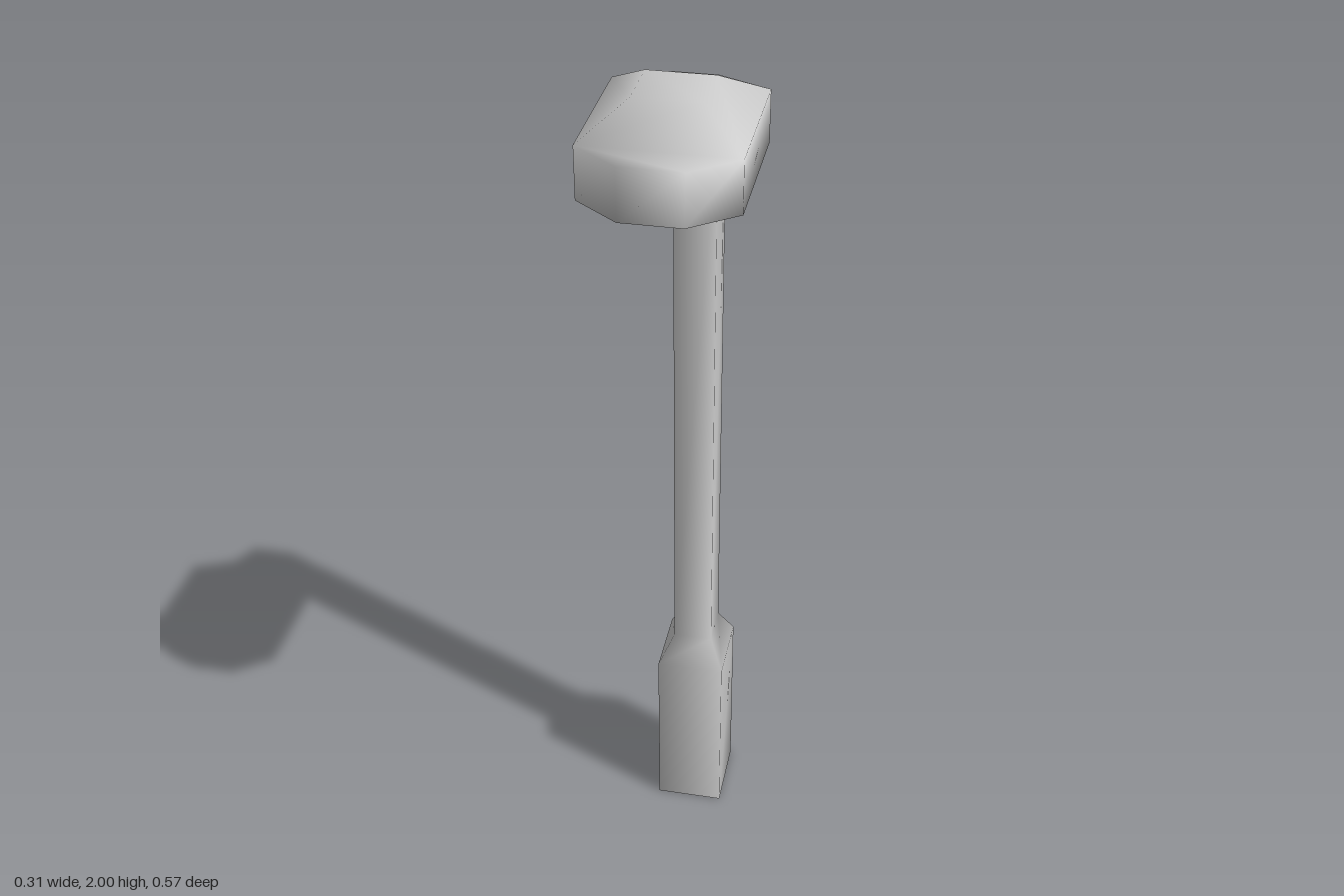
import * as THREE from 'three';
import { mergeVertices } from 'three/addons/utils/BufferGeometryUtils.js';

// Smooth-shaded mesh from convex faces, each a loop of [x, y, z] corners.
function facesMesh(name, faces) {
  const pos = [];
  const key = (p) => p.join();
  for (const f of faces) {
    const loop = f.filter((p, i) => key(p) !== key(f[(i + 1) % f.length]));
    for (let i = 1; i < loop.length - 1; i++) pos.push(...loop[0], ...loop[i], ...loop[i + 1]);
  }
  let geo = new THREE.BufferGeometry();
  geo.setAttribute('position', new THREE.Float32BufferAttribute(pos, 3));
  geo = mergeVertices(geo);
  geo.computeVertexNormals();
  const mesh = new THREE.Mesh(geo, new THREE.MeshStandardMaterial({ color: 0xcccccc }));
  mesh.name = name;
  return mesh;
}

// Quads joining two rings of equal length.
const band = (a, b) => a.map((p, i) => {
  const j = (i + 1) % a.length;
  return [p, a[j], b[j], b[i]];
});

// Square post: wide foot, tapered collar, long shaft and bent neck
function createPost() {
  const ring = (w, yFront, zFront, yBack, zBack) => [
    [w, yFront, zFront], [w, yBack, zBack], [-w, yBack, zBack], [-w, yFront, zFront],
  ];
  const rings = [
    ring(0.078, 0, -0.113, 0, -0.287),
    ring(0.078, 0.435, -0.113, 0.435, -0.287),
    ring(0.045, 0.505, -0.15, 0.505, -0.25),
    ring(0.045, 1.83, -0.15, 1.84, -0.25),
    ring(0.045, 1.83, -0.15, 1.888, -0.238),
    ring(0.045, 1.83, -0.15, 1.938, -0.15),
  ];
  const faces = [[...rings[0]].reverse()];
  for (let i = 0; i < rings.length - 1; i++) faces.push(...band(rings[i], rings[i + 1]));
  return facesMesh('post', faces);
}

// Lamp head: eight-sided housing with a raised, sloping cap
function createHead() {
  const half = [[0.062, 0.285], [0.155, 0.213], [0.155, -0.1], [0.045, -0.15]];
  const outline = [...half, ...half.map(([x, z]) => [-x, z]).reverse()];
  const at = (y) => outline.map(([x, z]) => [x, y, z]);
  const low = at(1.83), high = at(1.938);
  const cap = [[0.068, 2, 0.128], [0.068, 2, 0], [-0.068, 2, 0], [-0.068, 2, 0.128]];
  const pick = (...ids) => ids.map((i) => high[i]);
  return facesMesh('lampHead', [
    [...low].reverse(),
    ...band(low, high).filter((_, i) => i !== 3), // the neck enters here
    pick(0, 1, 6, 7),
    pick(2, 3, 4, 5),
    ...band(pick(1, 2, 5, 6), cap),
    cap,
  ]);
}

export function createModel() {
  const group = new THREE.Group();
  group.name = 'streetLamp';
  group.add(createPost(), createHead());
  return group;
}
